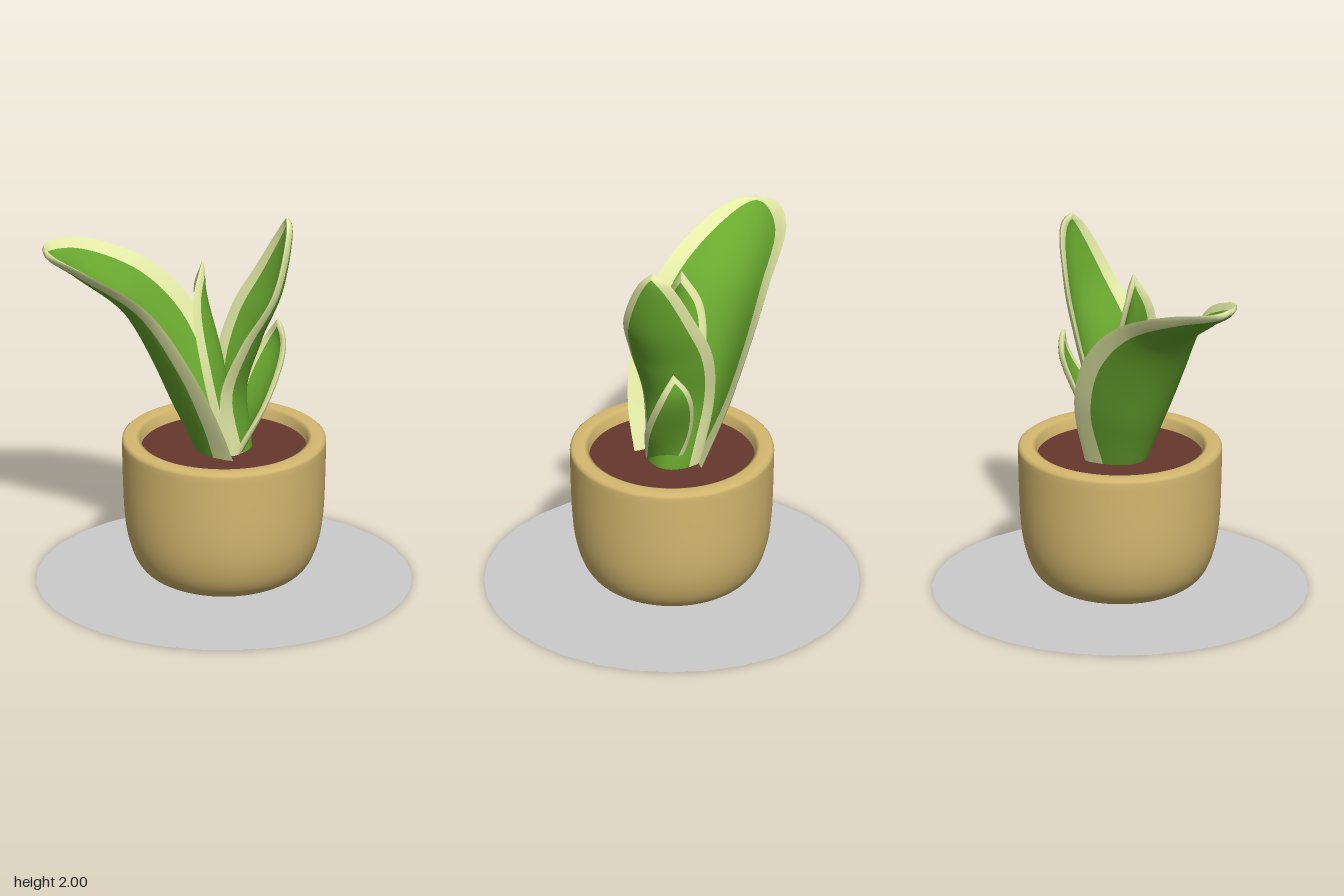
import * as THREE from 'three';

const mat = (color, side = THREE.FrontSide) => new THREE.MeshStandardMaterial({ color, side });
const curve = (pts) => new THREE.CatmullRomCurve3(pts.map((p) => new THREE.Vector3(...p)));
const profile = (pts) => pts.map((p) => new THREE.Vector2(...p));
const GREEN = mat(0x69a82f), PALE = mat(0xe4eba6);

// Thin cupped blade between two edge curves that meet at the tip, with a pale margin.
// bulge: cup depth relative to the width, at the base and at the tip
function makeLeaf(name, margin, bulge, tip, front, back) {
  const F = curve([...front, tip]), B = curve([...back, tip]);
  const centre = (t) => F.getPoint(t).add(B.getPoint(t)).multiplyScalar(0.5);
  const surface = (u, t) => {
    const chord = B.getPoint(t).sub(F.getPoint(t));
    const s = THREE.MathUtils.clamp(t, 0.02, 0.97);
    const along = centre(s + 0.02).sub(centre(s - 0.02)).normalize();
    const cup = chord.clone().cross(along).multiplyScalar(THREE.MathUtils.lerp(...bulge, t) * (1 - u * u));
    return centre(t).addScaledVector(chord, u / 2).add(cup);
  };
  const normalAt = (u, t) => {
    const s = THREE.MathUtils.clamp(t, 0.02, 0.96), e = 0.02;
    const du = surface(u + e, s).sub(surface(u - e, s));
    const dt = surface(u, s + e).sub(surface(u, s - e));
    return du.cross(dt).normalize();
  };

  const rows = 44, inner = 14, cols = inner + 4, half = 0.014;
  const pos = [], green = [], pale = [];
  for (const side of [1, -1]) {
    const start = pos.length / 3;
    for (let i = 0; i <= rows; i++) {
      const t = 1 - (1 - i / rows) ** 1.6;
      const width = F.getPoint(t).distanceTo(B.getPoint(t)) / 2;
      const g = Math.max(0, 1 - margin / Math.max(width, 1e-4));
      for (let j = 0; j <= cols; j++) {
        // two margin columns on each side of the green centre
        let u = g * ((2 * (j - 2)) / inner - 1);
        if (j < 2) u = -1 + (1 - g) * j * 0.3;
        if (j > cols - 2) u = 1 - (1 - g) * (cols - j) * 0.3;
        const edge = Math.min(1, 2.2 * Math.sqrt(Math.max(0, 1 - Math.abs(u))));
        const thick = half * edge * Math.min(1, 3 * Math.sqrt(1 - t));
        pos.push(...surface(u, t).addScaledVector(normalAt(u, t), side * thick).toArray());
      }
    }
    for (let i = 0; i < rows; i++) {
      for (let j = 0; j < cols; j++) {
        const a = start + i * (cols + 1) + j, b = a + 1, d = a + cols + 1, c = d + 1;
        const list = j < 2 || j >= cols - 2 ? pale : green;
        list.push(...(side > 0 ? [a, b, c, a, c, d] : [a, c, b, a, d, c]));
      }
    }
  }

  // Shared normals keep the shading smooth across the two colours
  const whole = new THREE.BufferGeometry();
  whole.setAttribute('position', new THREE.Float32BufferAttribute(pos, 3));
  whole.setIndex([...green, ...pale]);
  whole.computeVertexNormals();
  const leaf = new THREE.Group();
  leaf.name = name;
  for (const [part, index, material] of [['leafCentre', green, GREEN], ['leafMargin', pale, PALE]]) {
    const geo = new THREE.BufferGeometry();
    geo.setAttribute('position', whole.attributes.position);
    geo.setAttribute('normal', whole.attributes.normal);
    geo.setIndex(index);
    const mesh = new THREE.Mesh(geo, material);
    mesh.name = part;
    leaf.add(mesh);
  }
  return leaf;
}

export function createModel() {
  const model = new THREE.Group();
  model.name = 'pottedPlant';
  const add = (name, geo, material, y = 0) => {
    const mesh = new THREE.Mesh(geo, material);
    mesh.name = name;
    mesh.position.y = y;
    model.add(mesh);
  };

  // Flat base disc
  add('baseDisc', new THREE.CircleGeometry(0.975, 32).rotateX(-Math.PI / 2), mat(0xcccccc, THREE.DoubleSide));

  // Rounded pot with a thick rolled rim
  const outer = new THREE.SplineCurve(profile([[0, 0.006], [0.2, 0.01], [0.33, 0.035], [0.43, 0.1],
    [0.49, 0.23], [0.518, 0.42], [0.53, 0.775]])).getPoints(40);
  const rim = profile([[0.527, 0.79], [0.515, 0.8], [0.455, 0.8], [0.435, 0.79], [0.425, 0.7]]);
  add('pot', new THREE.LatheGeometry([...outer, ...rim], 64), mat(0xd6b970, THREE.DoubleSide));

  // Soil
  add('soil', new THREE.CircleGeometry(0.43, 48).rotateX(-Math.PI / 2), mat(0x66382e), 0.74);

  // Leaves: front edge and back edge run from the soil to the tip
  model.add(
    makeLeaf('broadArchingLeaf', 0.06, [-0.46, -0.1], [-0.89, 1.825, -0.26],
      [[0.01, 0.7, 0.19], [-0.1, 0.98, 0.255], [-0.24, 1.28, 0.255], [-0.45, 1.6, 0.14], [-0.72, 1.76, -0.03], [-0.86, 1.815, -0.16]],
      [[0.1, 0.7, -0.16], [0.07, 1.1, -0.31], [-0.06, 1.41, -0.4], [-0.3, 1.65, -0.455], [-0.65, 1.8, -0.47], [-0.86, 1.825, -0.37]]),
    makeLeaf('tallLeaf', 0.045, [0.42, 0.1], [0.33, 2, 0.035],
      [[0, 0.7, 0.13], [-0.065, 1.08, 0.165], [0.03, 1.38, 0.22], [0.2, 1.64, 0.215], [0.305, 1.92, 0.11]],
      [[0.04, 0.7, -0.15], [0.01, 1.1, -0.225], [0.1, 1.42, -0.235], [0.22, 1.67, -0.17], [0.335, 1.95, -0.05]]),
    makeLeaf('slimCentreLeaf', 0.03, [0.3, 0.3], [-0.11, 1.78, -0.03],
      [[-0.02, 0.7, 0.08], [-0.14, 1.18, 0.115], [-0.18, 1.58, 0.05]],
      [[0.02, 0.7, -0.09], [-0.05, 1.2, -0.16], [-0.125, 1.58, -0.14]]),
    makeLeaf('shortSideLeaf', 0.03, [0.15, 0.15], [0.31, 1.4, -0.07],
      [[-0.02, 0.7, 0.14], [0.2, 0.99, 0.1], [0.325, 1.26, 0]],
      [[0.1, 0.7, -0.05], [0.14, 1.02, -0.14], [0.255, 1.27, -0.145]]),
  );
  return model;
}
